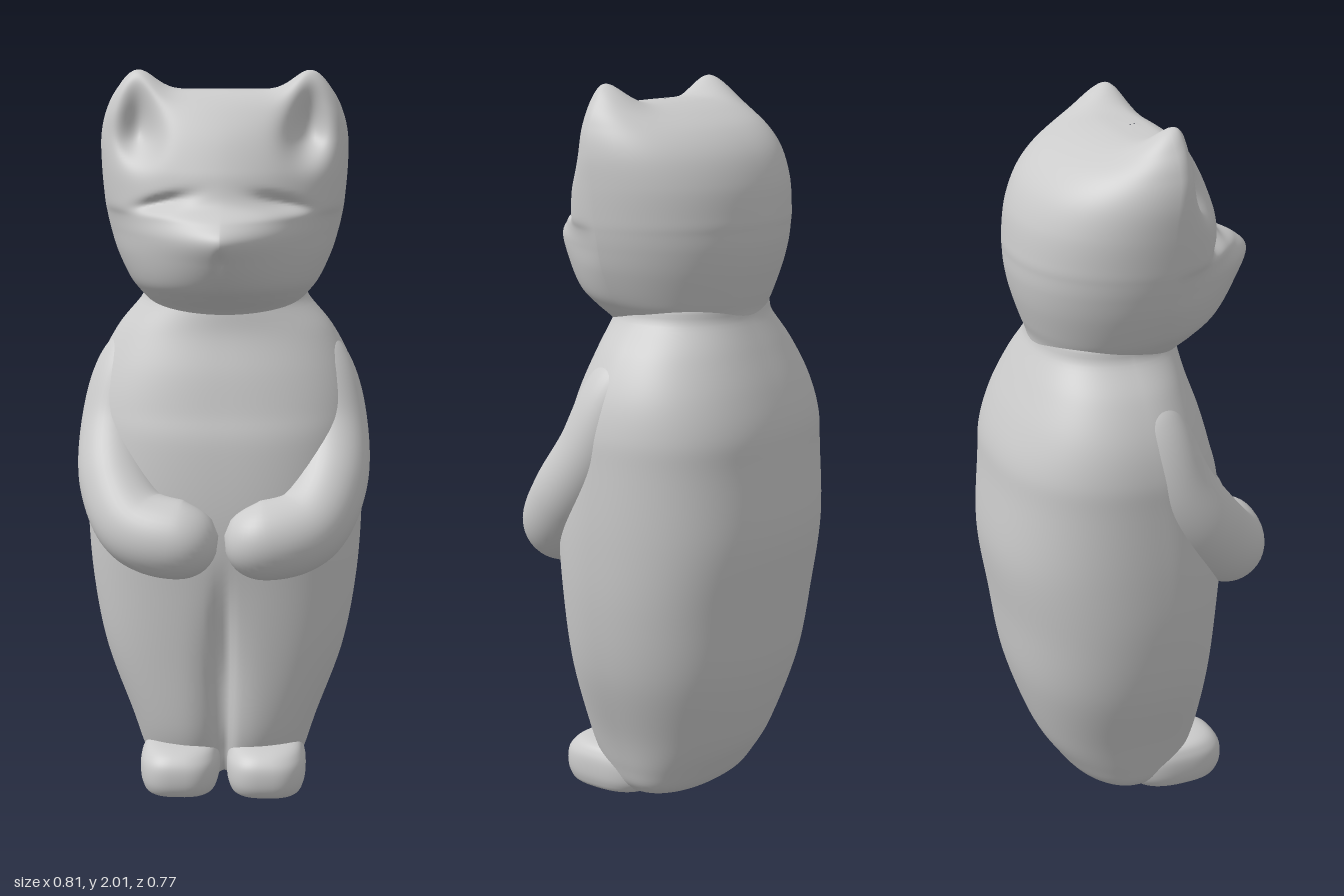
import * as THREE from 'three';
import { mergeVertices } from 'three/addons/utils/BufferGeometryUtils.js';

const material = new THREE.MeshStandardMaterial({ color: 0xcccccc, roughness: 0.8 });
const bump = (d, s) => Math.exp(-(d * d) / (s * s));
const pow = (v, e) => Math.sign(v) * Math.pow(Math.abs(v), e);

// Stacks superellipse rings; section = [y, halfWidth, zFront, zBack, zWidest, frontExponent]
function loft(sections, rows, cols, backExponent, sculpt = () => {}) {
  const spline = (f) => new THREE.CatmullRomCurve3(sections.map(f), false, 'catmullrom', 0.5);
  const outline = spline(([y, w, , , , n]) => new THREE.Vector3(w, y, n));
  const depth = spline(([, , f, b, c]) => new THREE.Vector3(f, b, c));
  const pos = [], index = [], v = new THREE.Vector3();
  for (let i = 0; i <= rows; i++) {
    const o = outline.getPoint(i / rows), d = depth.getPoint(i / rows);
    for (let j = 0; j < cols; j++) {
      const a = (j / cols) * Math.PI * 2, c = Math.cos(a), s = Math.sin(a);
      const e = 2 / (s > 0 ? o.z : backExponent);
      v.set(o.x * pow(c, e), o.y, d.z + (s > 0 ? d.x - d.z : d.z - d.y) * pow(s, e));
      sculpt(v);
      pos.push(v.x, v.y, v.z);
      if (i < rows) {
        const p = i * cols + j, q = i * cols + (j + 1) % cols;
        index.push(p, p + cols, q, q, p + cols, q + cols);
      }
    }
  }
  const g = new THREE.BufferGeometry();
  g.setAttribute('position', new THREE.Float32BufferAttribute(pos, 3));
  g.setIndex(index);
  g.computeVertexNormals();
  return g;
}

// Round-ended limb whose radius varies along its path
function limb(points, radii) {
  const N = 72, M = 40, cap = 0.13;
  const curve = new THREE.CatmullRomCurve3(points);
  const size = new THREE.SplineCurve(radii.map((r, i) => new THREE.Vector2(i, r)));
  let g = new THREE.TubeGeometry(curve, N, 1, M);
  const p = g.attributes.position, v = new THREE.Vector3();
  for (let i = 0; i <= N; i++) {
    const t = i / N, centre = curve.getPointAt(t);
    const k = Math.max(0, 1 - Math.min(t, 1 - t) / cap);
    const r = size.getPoint(t).y * Math.sqrt(Math.max(1e-5, 1 - k * k));
    for (let j = 0; j <= M; j++) {
      const n = i * (M + 1) + j;
      v.fromBufferAttribute(p, n).sub(centre).multiplyScalar(r).add(centre);
      p.setXYZ(n, v.x, v.y, v.z);
    }
  }
  g.deleteAttribute('uv');
  g.deleteAttribute('normal');
  g = mergeVertices(g, 1e-5);
  g.computeVertexNormals();
  return g;
}

export function createModel() {
  const model = new THREE.Group();
  const add = (name, geometry) => {
    const mesh = new THREE.Mesh(geometry, material);
    mesh.name = name;
    model.add(mesh);
    return mesh;
  };

  // Torso and legs, with a groove parting the legs in front
  add('body', loft([
    [0.012, 0.001, 0.02, -0.02, 0, 2.3],
    [0.014, 0.16, 0.12, -0.09, 0, 2.3],
    [0.04, 0.21, 0.16, -0.15, 0, 2.4],
    [0.1, 0.235, 0.185, -0.2, 0, 2.5],
    [0.2, 0.266, 0.212, -0.258, 0, 2.6],
    [0.4, 0.336, 0.23, -0.325, 0, 2.6],
    [0.6, 0.372, 0.246, -0.357, 0, 2.5],
    [0.8, 0.385, 0.26, -0.385, 0, 2.4],
    [1.0, 0.383, 0.245, -0.374, -0.02, 2.4],
    [1.1, 0.378, 0.22, -0.366, -0.03, 2.4],
    [1.2, 0.352, 0.195, -0.334, -0.04, 2.3],
    [1.3, 0.3, 0.163, -0.288, -0.04, 2.2],
    [1.38, 0.235, 0.15, -0.247, -0.04, 2],
    [1.44, 0.2, 0.13, -0.22, -0.04, 2],
    [1.46, 0.001, 0.0, -0.08, -0.04, 2],
  ], 90, 224, 2.35, (v) => {
    if (v.z <= 0) return;
    const fade = 1 - THREE.MathUtils.smoothstep(v.y, 0.3, 0.72);
    v.z -= Math.min(1, v.z / 0.1) * fade * (0.05 * bump(v.x, 0.022) + 0.025 * bump(v.x, 0.06));
  }));

  // Head: wedge muzzle, ears drawn up from the crown, hollows for ears and closed eyes
  add('head', loft([
    [1.3, 0.16, 0.1, -0.2, 0, 2],
    [1.365, 0.195, 0.16, -0.235, 0, 2],
    [1.41, 0.235, 0.238, -0.247, 0, 1.85],
    [1.45, 0.262, 0.3, -0.262, 0.02, 1.65],
    [1.52, 0.293, 0.355, -0.284, 0.03, 1.45],
    [1.58, 0.311, 0.386, -0.296, 0.03, 1.35],
    [1.625, 0.321, 0.345, -0.299, 0.03, 1.45],
    [1.665, 0.327, 0.275, -0.299, 0.03, 1.8],
    [1.75, 0.334, 0.246, -0.286, 0.03, 1.9],
    [1.83, 0.334, 0.212, -0.25, 0.04, 1.9],
    [1.89, 0.32, 0.175, -0.19, 0.05, 2],
    [1.93, 0.29, 0.14, -0.11, 0.05, 2],
    [1.952, 0.22, 0.1, -0.03, 0.05, 2],
    [1.957, 0.001, 0.06, 0.04, 0.05, 2],
  ], 130, 180, 2.15, (v) => {
    const x = Math.abs(v.x), y = v.y;
    if (v.z > 0.03) {
      const front = Math.min(1, (v.z - 0.03) / 0.06);
      const eyeLine = 1.672 - 0.25 * (x - 0.15);
      v.z -= front * (0.075 * bump(x - 0.225, 0.05) * bump(y - 1.845, 0.065)
        + 0.028 * bump(x - 0.16, 0.065) * bump(y - eyeLine, 0.018)
        + 0.008 * bump(x, 0.012) * bump(y - 1.53, 0.03));
    }
    v.y += 0.062 * THREE.MathUtils.smoothstep(y, 1.82, 1.94)
      * bump(x - 0.235, 0.065) * bump(v.z - 0.08, 0.09);
  }));

  for (const [side, s] of [['left', 1], ['right', -1]]) {
    // Arms curve forward so the paws meet over the belly
    add(side + 'Arm', limb([
      [0.2, 1.29, -0.03], [0.268, 1.17, 0.01], [0.298, 1.03, 0.06], [0.288, 0.89, 0.155],
      [0.225, 0.79, 0.24], [0.115, 0.765, 0.28], [0.008, 0.775, 0.275],
    ].map(([x, y, z]) => new THREE.Vector3(s * x, y, z)), [0.08, 0.095, 0.1, 0.105, 0.108, 0.11, 0.1]));

    // Feet with rounded toes
    const foot = add(side + 'Foot', loft([
      [0.001, 0.001, 0.15, 0.14, 0.145, 2.6],
      [0.004, 0.085, 0.235, 0.02, 0.13, 2.8],
      [0.03, 0.107, 0.265, -0.02, 0.12, 2.8],
      [0.075, 0.112, 0.271, -0.03, 0.12, 2.8],
      [0.11, 0.105, 0.26, -0.02, 0.12, 2.7],
      [0.135, 0.08, 0.225, 0.0, 0.12, 2.5],
      [0.142, 0.001, 0.15, 0.14, 0.145, 2.5],
    ], 30, 64, 2.5));
    foot.position.x = s * 0.122;
  }
  return model;
}
